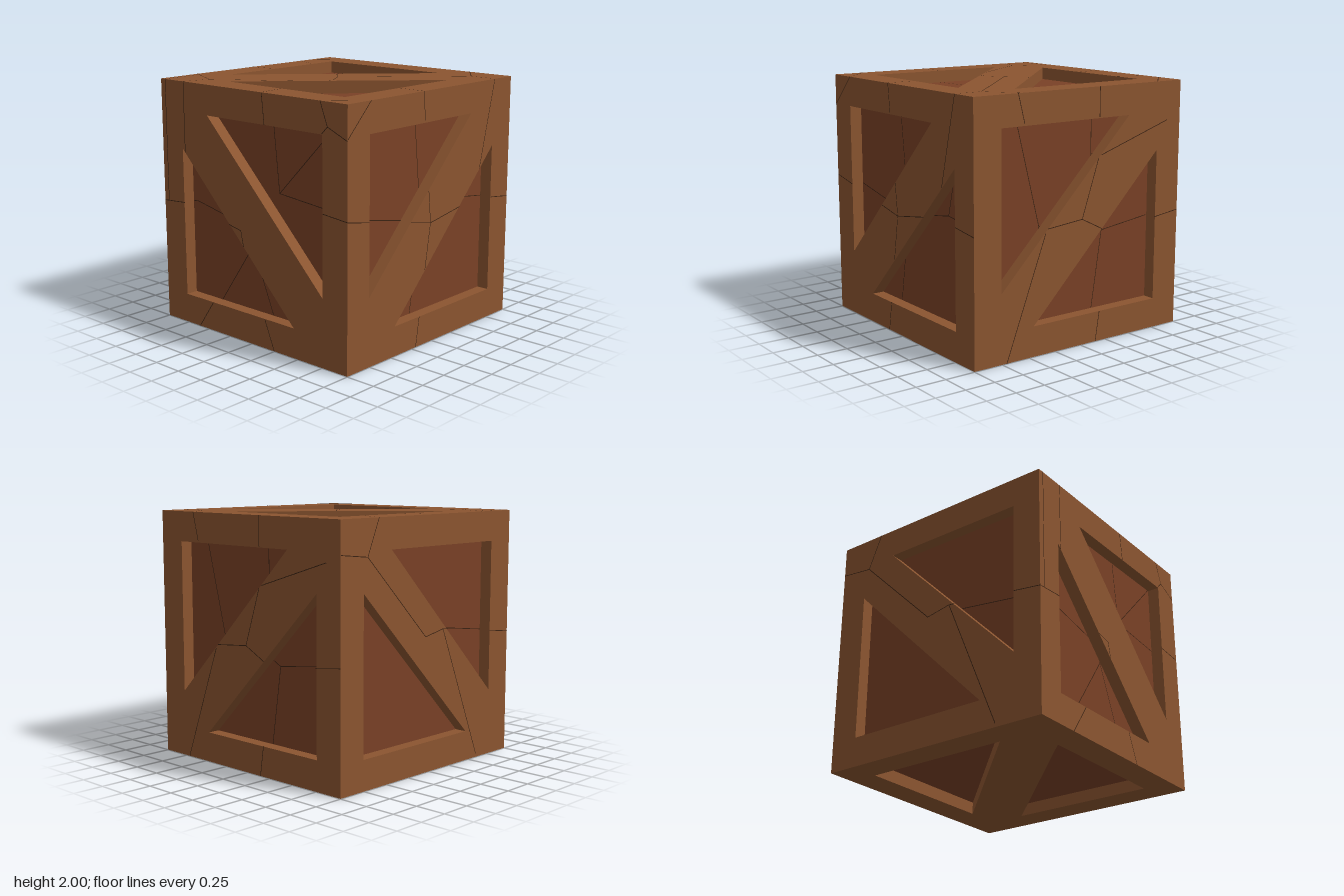
import * as THREE from 'three';
import { mergeGeometries } from 'three/addons/utils/BufferGeometryUtils.js';

const HALF = 1, DEPTH = 0.1, RIM = 0.76, CUT = 0.46;

const paint = (color) => new THREE.MeshStandardMaterial({ color, flatShading: true });
const frameWood = paint(0x8b5530);
const panelWood = paint(0x7a4126);
const crackDark = paint(0x3a2212);

// Hairline cracks per face, as polylines of u, v pairs (seen from outside the face)
const frontCracks = [
  [-0.95, 1, -0.95, 0], [-0.73, 1, -0.73, 0.43],
  [-1, 0, -0.7, 0.02, -0.1, -0.1, -0.07, -0.24, -0.61, -1], [-0.07, -0.24, 0.25, -1],
  [0.15, 1, 0.23, 0.23, 1, 0.16], [0.23, 0.23, 0.81, 0.82, 1, 0.74], [0.74, 1, 0.81, 0.82],
];
const sideCracks = [
  [-1, 0.75, -0.75, 1], [-0.15, 1, -0.04, -0.03, -0.2, -1],
  [-1, 0.16, -0.04, -0.03, 0.53, 0.06, 1, 0], [0.77, 1, 0.53, 0.06],
];
const topCracks = [
  [-1, 0.75, -0.75, 1], [0.59, 1, 0.77, 0.77, 1, 0.77], [0.77, 0.77, 0, 0],
  [-1, 0.61, -0.16, 0.28, -0.13, 0.14, 0, 0, 0.09, -0.15, 0.07, -0.24, 0.15, -1],
  [-1, 0.01, -0.13, 0.14], [-1, -0.62, -0.67, -0.78, -0.73, -1], [-0.95, -0.65, -0.95, -1],
  [-0.67, -0.78, -0.08, -0.38], [0.6, -0.15, 1, -0.15], [0.74, -1, 1, -0.74],
];
const backCracks = [
  [-0.61, 1, -0.34, -0.03, -0.71, -1], [-0.34, -0.03, 0, 0, 0.16, 0.47, 0.16, 1],
  [0.16, 0.47, 0.86, 0.69], [0, 0, 0.28, -0.14, 0.15, -1], [0.28, -0.14, 1, -0.05],
];
const otherSideCracks = [
  [-1, 0.75, -0.72, 0.72, -0.06, 0.07, 0.15, 0.11, 1, 0],
  [-0.72, 0.72, -0.6, 1], [0.15, 0.11, 0.6, -0.97],
];

// slope -1: brace falls from upper left to lower right; +1: it rises
const inOpening = (u, v, slope) =>
  Math.abs(u) < RIM && Math.abs(v) < RIM && Math.abs(v - slope * u) > RIM - CUT;

// Rim and diagonal brace in one plate with two triangular openings
function framePlate(width, height, slope) {
  const w = width / 2, h = height / 2;
  const shape = new THREE.Shape([[-w, -h], [w, -h], [w, h], [-w, h]].map(([x, y]) => new THREE.Vector2(x, y)));
  for (const side of [1, -1]) {
    const corners = [[-CUT, RIM], [RIM, RIM], [RIM, -CUT]];
    shape.holes.push(new THREE.Path(corners.map(([u, v]) => new THREE.Vector2(-slope * side * u, side * v))));
  }
  return new THREE.ExtrudeGeometry(shape, { depth: DEPTH, bevelEnabled: false });
}

// Thin strips that follow the surface, dropping into the openings
function crackStrips(lines, slope) {
  const strips = [], steps = 32;
  for (const line of lines) {
    for (let i = 0; i + 3 < line.length; i += 2) {
      const [u0, v0, u1, v1] = line.slice(i, i + 4);
      const length = Math.hypot(u1 - u0, v1 - v0) / steps;
      for (let s = 0; s < steps; s++) {
        const t = (s + 0.5) / steps;
        const u = u0 + (u1 - u0) * t, v = v0 + (v1 - v0) * t;
        const level = inOpening(u, v, slope) ? HALF - DEPTH : HALF;
        strips.push(new THREE.PlaneGeometry(length, 0.006)
          .rotateZ(Math.atan2(v1 - v0, u1 - u0))
          .translate(u, v, level + 0.001));
      }
    }
  }
  return mergeGeometries(strips);
}

export function createModel() {
  const crate = new THREE.Group();
  crate.name = 'crate';
  const add = (parent, name, geometry, material) => {
    const mesh = new THREE.Mesh(geometry, material);
    mesh.name = name;
    parent.add(mesh);
    return mesh;
  };

  // Recessed panels are the faces of one inner box
  const inner = 2 * (HALF - DEPTH);
  add(crate, 'innerPanels', new THREE.BoxGeometry(inner, inner, inner), panelWood).position.y = HALF;

  // Plate sizes step down so that the six plates meet without overlapping
  const q = Math.PI / 2;
  const faces = [
    { name: 'front', turn: [0, 0, 0], size: [2, inner], slope: -1, cracks: frontCracks },
    { name: 'back', turn: [0, 2 * q, 0], size: [2, inner], slope: 1, cracks: backCracks },
    { name: 'left', turn: [0, q, 0], size: [inner, inner], slope: 1, cracks: sideCracks },
    { name: 'right', turn: [0, -q, 0], size: [inner, inner], slope: -1, cracks: otherSideCracks },
    { name: 'top', turn: [-q, 0, 0], size: [2, 2], slope: 1, cracks: topCracks },
    { name: 'bottom', turn: [q, 0, 0], size: [2, 2], slope: -1, cracks: [] },
  ];
  for (const { name, turn, size, slope, cracks } of faces) {
    const face = new THREE.Group();
    face.name = name + 'Face';
    face.position.y = HALF;
    face.rotation.set(...turn);
    add(face, name + 'Frame', framePlate(...size, slope), frameWood).position.z = HALF - DEPTH;
    if (cracks.length) add(face, name + 'Cracks', crackStrips(cracks, slope), crackDark);
    crate.add(face);
  }
  return crate;
}
